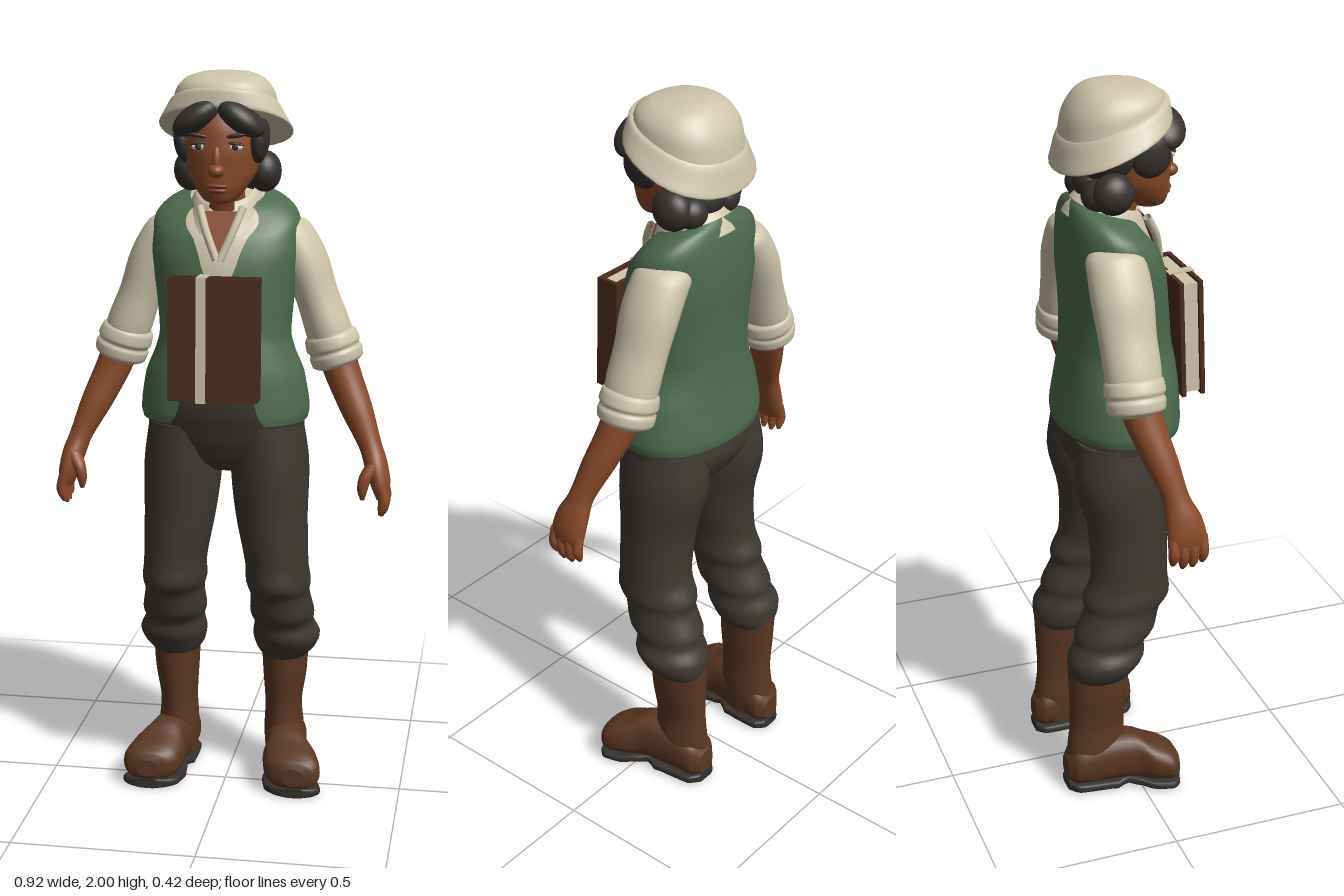
import * as THREE from 'three';

const mat = (name, color, side = THREE.FrontSide) => {
  const m = new THREE.MeshStandardMaterial({ color, side });
  m.name = name;
  return m;
};

// Smooth body through oval sections [x, y, z, ru, rv, tilt, gap]; gap leaves the front open.
function loft(rows, { U = [1, 0, 0], V = [0, 0, 1], sx = 1, p = 1, n = 28, steps = 4, open = false } = {}) {
  const curve = (f) => new THREE.CatmullRomCurve3(rows.map((r) => new THREE.Vector3(...f(r))));
  const mid = curve((r) => [r[0], r[1], r[2]]);
  const size = curve((r) => [r[3], r[4], r[5] || 0]);
  const gaps = curve((r) => [r[6] || 0, 0, 0]);
  const count = (rows.length - 1) * steps, pos = [], idx = [];
  const cols = open ? n + 1 : n;
  for (let i = 0; i <= count; i++) {
    // piecewise parameter keeps the three curves in step
    const t = i / count, c = mid.getPoint(t), s = size.getPoint(t), g = gaps.getPoint(t).x;
    for (let j = 0; j < cols; j++) {
      const a = Math.PI / 2 + g + (j / n) * (2 * Math.PI - 2 * g);
      const pw = (v) => Math.sign(v) * Math.abs(v) ** p;
      const u = s.x * pw(Math.cos(a)), v = s.y * pw(Math.sin(a));
      pos.push(sx * (c.x + U[0] * u + V[0] * v), c.y + U[1] * u + V[1] * v - s.z * v, c.z + U[2] * u + V[2] * v);
    }
  }
  for (let i = 0; i < count; i++) for (let j = 0; j < n; j++) {
    const k = open ? j + 1 : (j + 1) % n;
    const a = i * cols + j, b = i * cols + k, d = a + cols, e = b + cols;
    idx.push(a, d, b, b, d, e);
  }
  // flat end caps with their own vertices
  if (!open) for (const end of [0, count]) {
    const base = pos.length / 3, c = mid.getPoint(end / count);
    for (let j = 0; j < n; j++) pos.push(...pos.slice((end * n + j) * 3, (end * n + j) * 3 + 3));
    pos.push(sx * c.x, c.y, c.z);
    for (let j = 0; j < n; j++) {
      const k = (j + 1) % n;
      if (end) idx.push(base + n, base + k, base + j);
      else idx.push(base + n, base + j, base + k);
    }
  }
  // turn the surface outward
  let vol = 0;
  const P = (i) => new THREE.Vector3().fromArray(pos, i * 3).sub(mid.getPoint(0.5).multiply(new THREE.Vector3(sx, 1, 1)));
  for (let i = 0; i < idx.length; i += 3) vol += P(idx[i]).dot(P(idx[i + 1]).cross(P(idx[i + 2])));
  if (vol < 0) idx.reverse();
  const geo = new THREE.BufferGeometry();
  geo.setAttribute('position', new THREE.Float32BufferAttribute(pos, 3));
  geo.setIndex(idx);
  geo.computeVertexNormals();
  return geo;
}

export function createModel() {
  const model = new THREE.Group();
  const skin = mat('skin', 0x8a4a29, THREE.DoubleSide), cream = mat('cream cloth', 0xcfc5ab, THREE.DoubleSide);
  const green = mat('green cloth', 0x4d6b4e, THREE.DoubleSide), trouser = mat('trouser cloth', 0x3f3832);
  const leather = mat('boot leather', 0x5a3722), dark = mat('dark hair', 0x35302d);
  const cover = mat('book cover', 0x4c2c1d), lip = mat('lips', 0x763a24);
  const white = mat('eye white', 0xd9d4cb);

  const add = (name, geo, m, parent = model) => {
    const mesh = new THREE.Mesh(geo, m);
    mesh.name = name;
    parent.add(mesh);
    return mesh;
  };
  const ball = (name, m, x, y, z, a, b, c, rz = 0, rx = 0) => {
    const o = add(name, new THREE.SphereGeometry(1, 24, 16), m);
    o.position.set(x, y, z);
    o.scale.set(a, b, c);
    o.rotation.set(rx, 0, rz);
    return o;
  };

  // vest, open at the front, over a slightly smaller shirt
  const vest = [
    [0, 1.075, -.005, .225, .163, 0, .56], [0, 1.1, -.005, .23, .165, 0, .46], [0, 1.2, 0, .215, .155, 0, .36],
    [0, 1.26, 0, .19, .149, 0, .27], [0, 1.31, -.003, .178, .143, 0, .22], [0, 1.4, -.007, .185, .138, 0, .2],
    [0, 1.5, -.015, .198, .135, 0, .2], [0, 1.58, -.025, .2, .123, .1, .32], [0, 1.63, -.035, .188, .105, .25, .5],
    [0, 1.66, -.04, .15, .09, .33, .6], [0, 1.675, -.04, .1, .08, .36, .7]];
  add('vest', loft(vest, { open: true, p: .9, n: 48 }), green);
  add('shirt', loft(vest.slice(2).map(([x, y, z, a, b, t]) => [x, y - .006, z, a * .95, b * .95, t]), { p: .9, n: 40 }), cream);
  add('collar', loft([[0, 1.62, -.025, .112, .118, .4, .3], [0, 1.65, -.025, .1, .105, .4, .35], [0, 1.685, -.02, .082, .085, .4, .42],
    [0, 1.69, -.02, .074, .077, .4, .45]], { open: true }), cream);
  add('collarOpening', new THREE.BufferGeometry().setFromPoints([[-.05, 1.64, .075], [0, 1.515, .122], [.05, 1.64, .075]]
    .map((v) => new THREE.Vector3(...v))), skin).geometry.computeVertexNormals();
  for (const s of [-1, 1]) {
    const edge = new THREE.CatmullRomCurve3([[.058, 1.65, .066], [.036, 1.59, .1], [.004, 1.515, .122]]
      .map(([x, y, z]) => new THREE.Vector3(x * s, y, z)));
    add('collarEdge', new THREE.TubeGeometry(edge, 10, .011, 8), cream);
  }

  // neck and head
  add('neck', loft([[0, 1.58, -.03, .07, .07], [0, 1.64, -.01, .055, .055], [0, 1.7, .01, .052, .055], [0, 1.76, .01, .055, .06]]), skin);
  add('head', loft([[0, 1.663, .095, .02, .025], [0, 1.672, .088, .042, .045], [0, 1.7, .07, .066, .073], [0, 1.74, .045, .09, .1],
    [0, 1.8, .03, .104, .118], [0, 1.86, .02, .107, .12], [0, 1.92, .005, .095, .1]]), skin);
  ball('nose', skin, 0, 1.752, .146, .022, .018, .026);
  ball('noseBridge', skin, 0, 1.785, .143, .012, .035, .014, 0, -.2);
  ball('upperLip', lip, 0, 1.712, .139, .03, .007, .011);
  ball('lowerLip', lip, 0, 1.7, .137, .025, .008, .011);

  // hair
  ball('hairBack', dark, 0, 1.835, -.02, .115, .1, .108);
  ball('backCurl', dark, 0, 1.745, -.075, .055, .045, .04);
  for (const s of [-1, 1]) {
    ball('eye', white, s * .048, 1.812, .134, .019, .009, .008);
    ball('iris', dark, s * .048, 1.813, .139, .009, .009, .005);
    ball('eyelid', dark, s * .049, 1.821, .137, .022, .004, .007, s * -.1);
    ball('eyebrow', dark, s * .05, 1.842, .137, .027, .006, .008, s * .15);
    ball('frontHair', dark, s * .058, 1.885, .108, .072, .036, .057, s * -.6);
    ball('templeHair', dark, s * .1, 1.825, .06, .026, .06, .055, s * -.1);
    ball('sideCurl', dark, s * .1, 1.735, -.04, .045, .055, .055);
    ball('lowerCurl', dark, s * .065, 1.725, -.072, .045, .042, .042);
  }

  // cloth cap with a flared band
  add('capCrown', loft([[0, 1.87, -.012, .145, .14, -.4], [0, 1.91, -.012, .138, .134, -.32], [0, 1.95, -.012, .128, .122, -.2],
    [0, 1.982, -.01, .1, .092, -.08], [0, 1.996, -.01, .06, .055], [0, 2, -.01, .01, .01]], { p: .88 }), cream);
  add('capBand', loft([[0, 1.845, -.015, .165, .145, -.43], [0, 1.85, -.015, .178, .153, -.43], [0, 1.875, -.013, .165, .15, -.42],
    [0, 1.91, -.01, .145, .142, -.36], [0, 1.918, -.01, .134, .13, -.34]], { p: .92 }), cream);

  // hips
  add('hips', loft([[0, .925, -.025, .07, .06], [0, .96, -.025, .15, .105], [0, 1.02, -.025, .212, .132], [0, 1.1, -.01, .216, .14],
    [0, 1.2, 0, .19, .135]], { p: .92 }), trouser);

  const arm = [.95, .3, 0];
  for (const sx of [-1, 1]) {
    const side = sx > 0 ? 'left' : 'right';
    // sleeve and rolled cuff
    add(side + 'Sleeve', loft([[.12, 1.61, -.055, .04, .05], [.155, 1.58, -.055, .066, .078], [.205, 1.5, -.055, .064, .082],
      [.243, 1.4, -.053, .058, .076], [.272, 1.32, -.05, .062, .075], [.288, 1.27, -.05, .06, .07]], { U: arm, sx }), cream);
    add(side + 'Cuff', loft([[.273, 1.307, -.05, .056, .066], [.279, 1.295, -.05, .071, .078], [.288, 1.27, -.05, .075, .081],
      [.292, 1.258, -.05, .069, .075], [.296, 1.247, -.05, .074, .079], [.302, 1.225, -.05, .071, .076],
      [.306, 1.212, -.05, .05, .055]], { U: arm, sx }), cream);
    // forearm, palm and fingers
    add(side + 'Forearm', loft([[.29, 1.27, -.045, .05, .055], [.315, 1.2, -.035, .049, .052], [.36, 1.1, -.005, .043, .045],
      [.4, 1.01, .022, .031, .036], [.418, .96, .036, .031, .048], [.432, .91, .042, .027, .053], [.438, .875, .043, .018, .046]],
    { U: arm, sx }), skin);
    for (let i = 0; i < 4; i++) {
      const z = .002 + i * .027, drop = [.012, 0, 0, .01][i];
      add(side + 'Finger', loft([[.436, .91, z, .014, .014], [.444, .87, z, .015, .015], [.441, .84 + drop, z, .013, .013],
        [.436, .822 + drop, z, .006, .006]], { sx, n: 12 }), skin);
    }
    add(side + 'Thumb', loft([[.415, .97, .06, .02, .02], [.394, .935, .08, .018, .018], [.386, .9, .084, .014, .014],
      [.386, .872, .082, .006, .006]], { sx, n: 12 }), skin);

    // trouser leg, gathered over the boot
    add(side + 'TrouserLeg', loft([[.11, 1.06, -.02, .102, .125], [.12, .95, -.025, .108, .131], [.128, .8, -.012, .1, .11],
      [.143, .66, -.012, .088, .108], [.147, .6, -.022, .09, .122], [.15, .56, -.036, .083, .107], [.154, .5, -.058, .09, .112],
      [.157, .465, -.075, .084, .1], [.163, .425, -.087, .095, .107], [.16, .385, -.1, .085, .095], [.156, .36, -.105, .066, .084]],
    { sx }), trouser);

    // boot: shaft, foot and sole
    add(side + 'BootShaft', loft([[.157, .4, -.108, .068, .088], [.157, .3, -.108, .062, .084], [.153, .2, -.112, .052, .079],
      [.155, .12, -.115, .057, .084], [.157, .04, -.12, .055, .08]], { sx }), leather);
    const foot = [[.155, .065, -.205, .03, .035], [.157, .075, -.18, .055, .058], [.163, .087, -.09, .06, .072], [.175, .088, -.02, .06, .073],
      [.19, .077, .03, .078, .06], [.202, .068, .075, .079, .051], [.207, .062, .1, .06, .042], [.208, .06, .11, .03, .025]];
    add(side + 'BootFoot', loft(foot, { V: [0, 1, 0], sx, p: .8 }), leather);
    add(side + 'BootSole', loft(foot.map(([x, , z, r]) => [x, z > -.09 && z < 0 ? .02 : .014, z, r * 1.02, .014]),
      { V: [0, 1, 0], sx, p: .5 }), dark);
  }

  // strapped book on the chest, spine on the left
  const book = new THREE.Group();
  book.name = 'book';
  book.position.set(-.001, 1.317, .177);
  book.rotation.x = -.04;
  model.add(book);
  const box = (name, m, w, h, d, x, y, z) => add(name, new THREE.BoxGeometry(w, h, d), m, book).position.set(x, y, z);
  box('frontCover', cover, .238, .324, .012, 0, 0, .024);
  box('backCover', cover, .238, .324, .012, 0, 0, -.03);
  box('spine', cover, .012, .324, .06, .113, 0, -.003);
  box('pages', cream, .216, .308, .044, 0, 0, -.003);
  box('frontStrap', cream, .026, .33, .004, -.031, 0, .032);
  for (const s of [-1, 1]) box('strapEnd', cream, .026, .004, .07, -.031, s * .164, -.001);
  return model;
}
